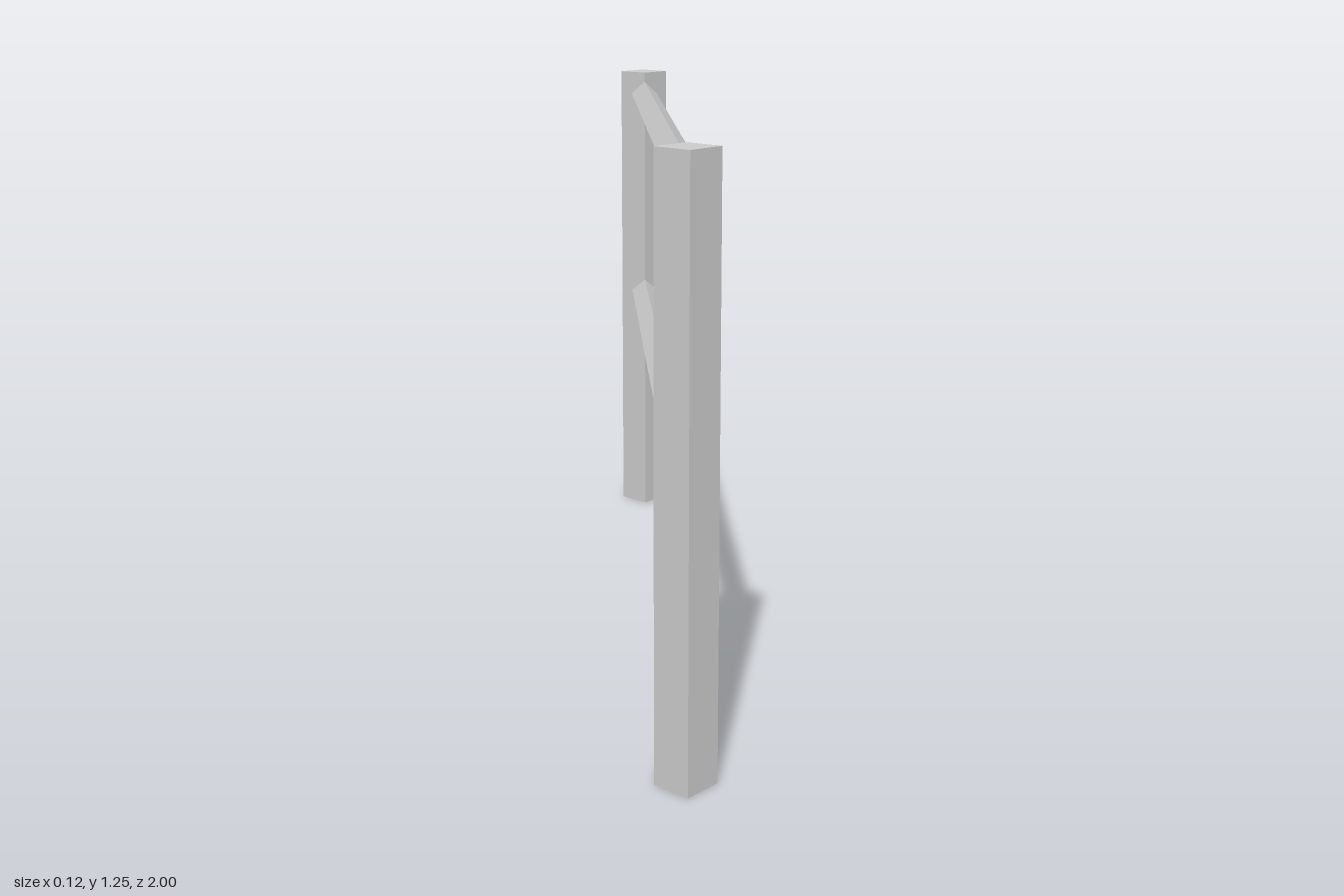
import * as THREE from 'three';

const POST_Z = 0.9375;

export function createModel() {
  const group = new THREE.Group();
  const material = new THREE.MeshStandardMaterial({ color: 0xcccccc, flatShading: true });

  // Four-sided bar with its edges facing the axes
  const addBar = (name, radius, length) => {
    const mesh = new THREE.Mesh(new THREE.CylinderGeometry(radius, radius, length, 4), material);
    mesh.name = name;
    group.add(mesh);
    return mesh;
  };

  // Upright posts at both ends
  for (const [name, z] of [['frontPost', POST_Z], ['backPost', -POST_Z]]) {
    addBar(name, 0.0625, 1.25).position.set(0, 0.625, z);
  }

  // Horizontal rails running between the post centres
  for (const [name, y] of [['lowerRail', 0.63], ['upperRail', 1.19]]) {
    const rail = addBar(name, 0.035, 2 * POST_Z);
    rail.rotation.x = Math.PI / 2;
    rail.position.y = y;
  }

  return group;
}
